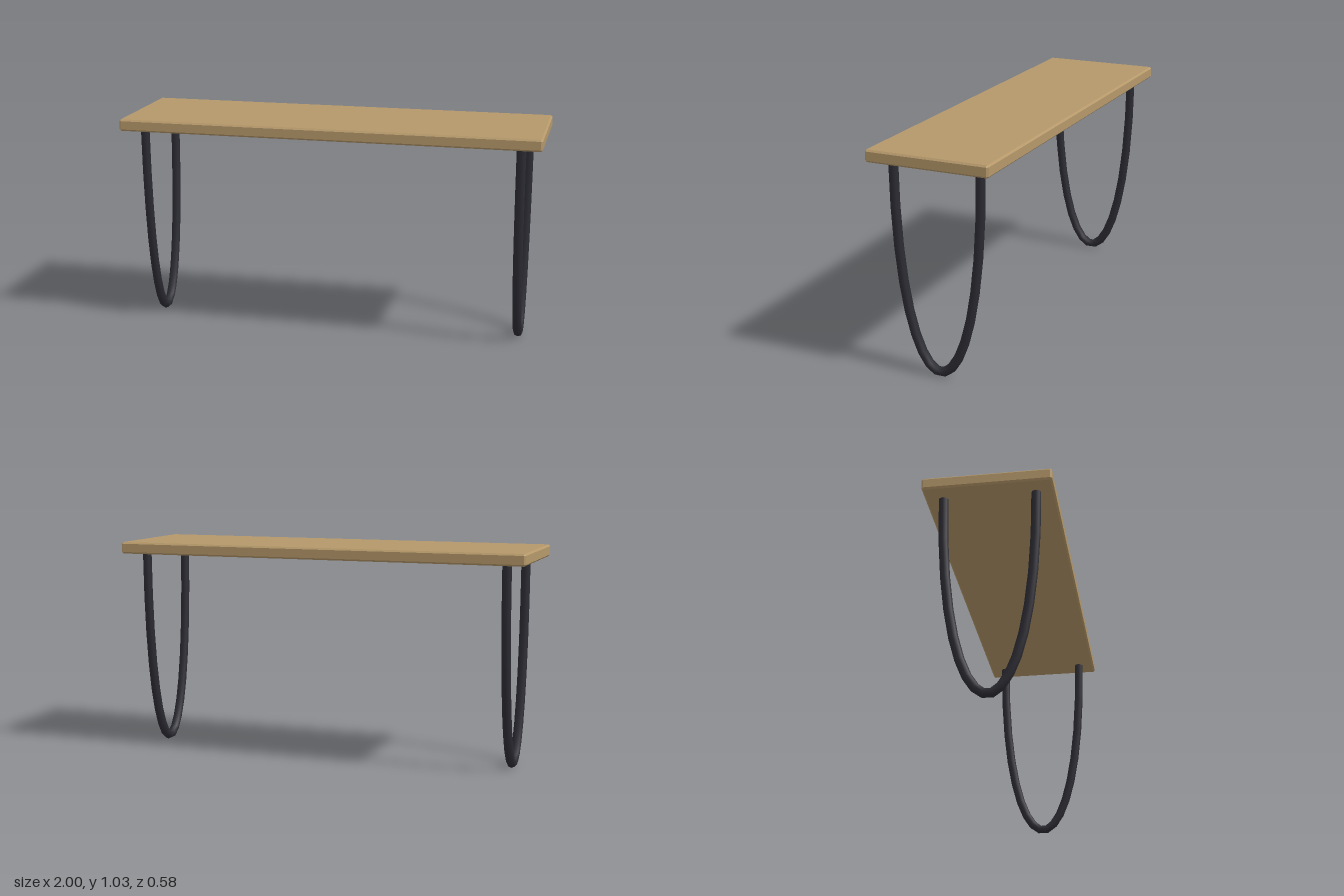
import * as THREE from 'three';
import { ConvexGeometry } from 'three/addons/geometries/ConvexGeometry.js';

// Box with a flat chamfer on every edge
function chamferBox(w, h, d, c) {
  const pts = [];
  for (const sx of [-1, 1]) for (const sy of [-1, 1]) for (const sz of [-1, 1]) {
    for (let face = 0; face < 3; face++) {
      const inset = [c, c, c];
      inset[face] = 0;
      pts.push(new THREE.Vector3(
        sx * (w / 2 - inset[0]), sy * (h / 2 - inset[1]), sz * (d / 2 - inset[2])));
    }
  }
  return new ConvexGeometry(pts);
}

// Bezier sampled evenly in its parameter, so rings crowd toward the bend
class LegCurve extends THREE.CubicBezierCurve3 {
  getPointAt(t, target) { return this.getPoint(t, target); }
  getTangentAt(t, target) { return this.getTangent(t, target); }
}

export function createModel() {
  const group = new THREE.Group();
  group.name = 'bench';

  const wood = new THREE.MeshStandardMaterial({ color: 0xb5986a });
  wood.name = 'wood';
  const metal = new THREE.MeshStandardMaterial({ color: 0x2b2b33 });
  metal.name = 'dark metal';

  // Seat plank
  const seat = new THREE.Mesh(chamferBox(2, 0.056, 0.58, 0.008), wood);
  seat.name = 'seat';
  seat.position.y = 1.005;
  group.add(seat);

  // U-shaped tube legs
  const top = 0.978, dip = -0.302, spread = 0.208;
  const curve = new LegCurve(
    new THREE.Vector3(0, top, spread), new THREE.Vector3(0, dip, spread),
    new THREE.Vector3(0, dip, -spread), new THREE.Vector3(0, top, -spread));
  const legGeometry = new THREE.TubeGeometry(curve, 17, 0.022, 8, false);
  for (const side of [-1, 1]) {
    const leg = new THREE.Mesh(legGeometry, metal);
    leg.name = side > 0 ? 'leftLeg' : 'rightLeg';
    leg.position.x = side * 0.9;
    group.add(leg);
  }

  return group;
}
